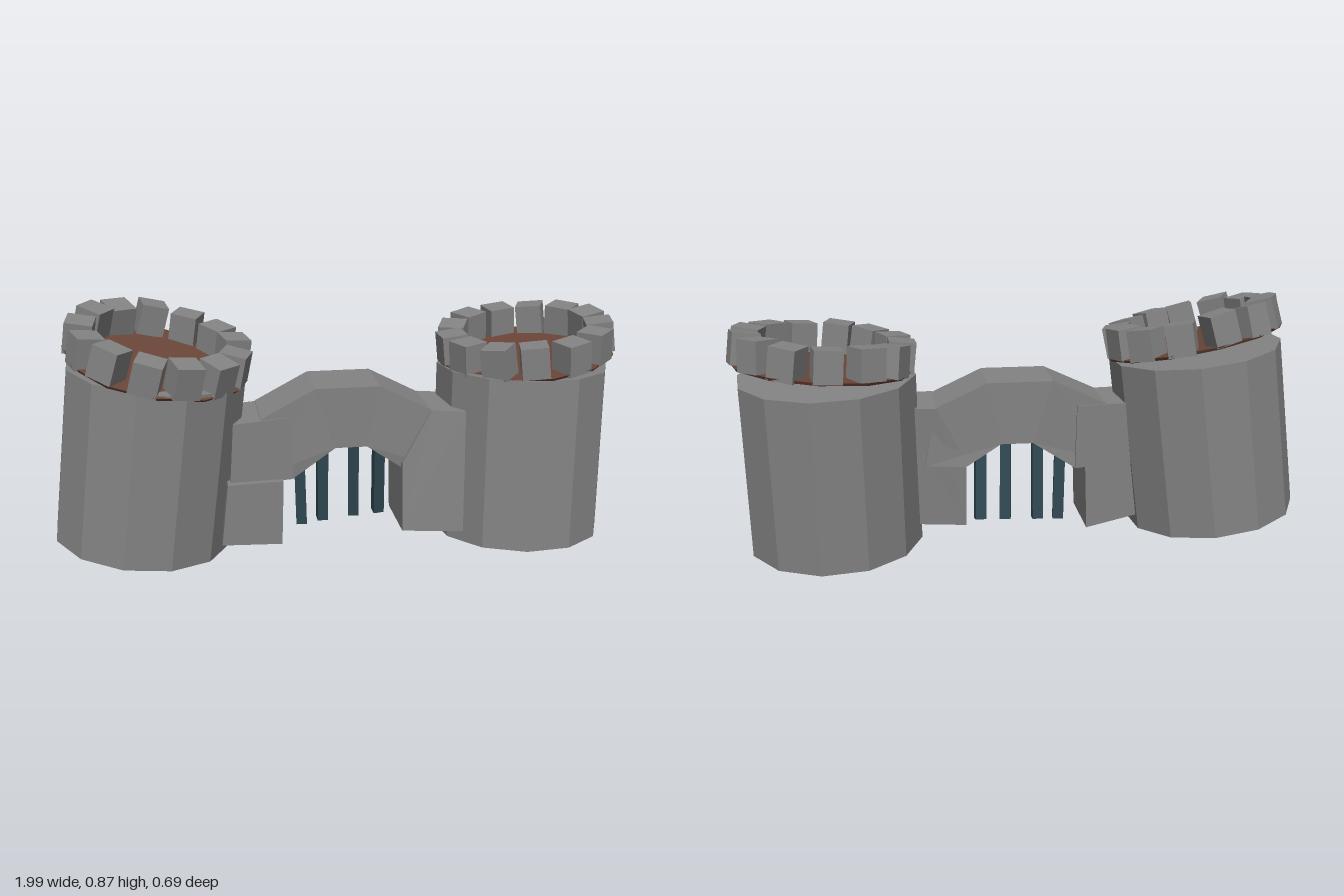
import * as THREE from 'three';

export function createModel() {
  const model = new THREE.Group();
  model.name = 'gatehouse';
  const mat = (color) => new THREE.MeshStandardMaterial({ color, flatShading: true });
  const stone = mat(0x838383), wood = mat(0x6b4638), iron = mat(0x304852);
  const V = (a) => new THREE.Vector3(...a);
  const up = new THREE.Vector3(0, 1, 0);

  // small seeded wobble in -1..1 for the hand-laid stones
  let seed = 7;
  const wobble = () => {
    seed = (seed * 16807) % 2147483647;
    return (seed / 2147483647) * 2 - 1;
  };

  const add = (parent, name, geometry, material) => {
    const mesh = new THREE.Mesh(geometry, material);
    mesh.name = name;
    parent.add(mesh);
    return mesh;
  };

  // leaning twelve-sided tower between two centres, with a tilted crown
  function tower(name, bottom, top, crownAt, crownNormal, twist) {
    const group = new THREE.Group();
    group.name = name;
    const a = V(bottom), b = V(top), axis = b.clone().sub(a);
    const wall = add(group, 'towerWall',
      new THREE.CylinderGeometry(0.304, 0.304, axis.length(), 12, 1, false, twist), stone);
    wall.position.copy(a).add(b).multiplyScalar(0.5);
    wall.quaternion.setFromUnitVectors(up, axis.normalize());

    const crown = new THREE.Group();
    crown.name = 'crown';
    crown.position.copy(V(crownAt));
    crown.quaternion.setFromUnitVectors(up, V(crownNormal).normalize());
    group.add(crown);
    add(crown, 'floor', new THREE.CylinderGeometry(0.312, 0.305, 0.01, 12), wood);
    for (let i = 0; i < 13; i++) {
      const angle = (i / 13) * Math.PI * 2 + twist + wobble() * 0.03;
      const merlon = add(crown, 'merlon', new THREE.BoxGeometry(0.093, 0.108, 0.092), stone);
      merlon.position.set(Math.sin(angle) * 0.261, 0.053 + wobble() * 0.006, Math.cos(angle) * 0.261);
      merlon.rotation.set(wobble() * 0.07, angle + wobble() * 0.1, wobble() * 0.09, 'YXZ');
    }
    model.add(group);
  }
  tower('leftTower', [0.655, 0.018, 0.022], [0.664, 0.622, -0.011],
    [0.677, 0.656, -0.02], [-0.09, 1, 0.04], -0.15);
  tower('rightTower', [-0.705, 0.066, 0.02], [-0.629, 0.668, 0.026],
    [-0.628, 0.694, 0.028], [0.21, 1, 0.13], 0.32);

  // stone block: front outline pushed back, bending forward towards the towers;
  // flare brings its lower end further forward
  function block(name, outline, depth, shift = 0, flare = 0) {
    const shape = new THREE.Shape(outline.map(([x, y]) => new THREE.Vector2(x, y)));
    const geo = new THREE.ExtrudeGeometry(shape, { depth, bevelEnabled: false });
    const p = geo.attributes.position;
    for (let i = 0; i < p.count; i++) {
      const bend = 0.3 * p.getX(i) ** 2 + flare * (0.5 - p.getY(i));
      p.setZ(i, p.getZ(i) - depth / 2 + shift + bend);
    }
    geo.computeVertexNormals();
    add(model, name, geo, stone);
  }
  block('rightFoot', [[-0.435, 0.08], [-0.225, 0.052], [-0.217, 0.285], [-0.41, 0.295]], 0.25, 0.015);
  block('rightPier', [[-0.4, 0.285], [-0.18, 0.28], [-0.185, 0.505], [-0.385, 0.5]], 0.23);
  block('rightHaunch', [[-0.29, 0.3], [-0.18, 0.28], [-0.03, 0.38], [-0.1, 0.597], [-0.29, 0.505]], 0.22);
  block('keystone', [[-0.03, 0.38], [0.08, 0.38], [0.125, 0.597], [-0.1, 0.597]], 0.222);
  block('leftHaunch', [[0.08, 0.38], [0.2, 0.3], [0.34, 0.3], [0.3, 0.51], [0.125, 0.597]], 0.22);
  block('leftPier', [[0.2, 0.075], [0.41, 0.075], [0.415, 0.507], [0.3, 0.51], [0.2, 0.32]], 0.235, 0, 0.08);

  // hanging portcullis bars: x, lower end, sideways lean, backward lean
  const bars = [[-0.142, 0.06, 0.03, 0.05], [-0.062, 0.066, 0.01, 0.1],
    [0.052, 0.072, 0.03, 0.17], [0.142, 0.076, 0.03, 0.17]];
  for (const [x, low, lean, back] of bars) {
    const bar = add(model, 'portcullisBar', new THREE.BoxGeometry(0.038, 0.42 - low, 0.036), iron);
    bar.position.set(x, (0.42 + low) / 2, 0.005);
    bar.rotation.set(back, wobble() * 0.2, lean);
  }
  return model;
}
